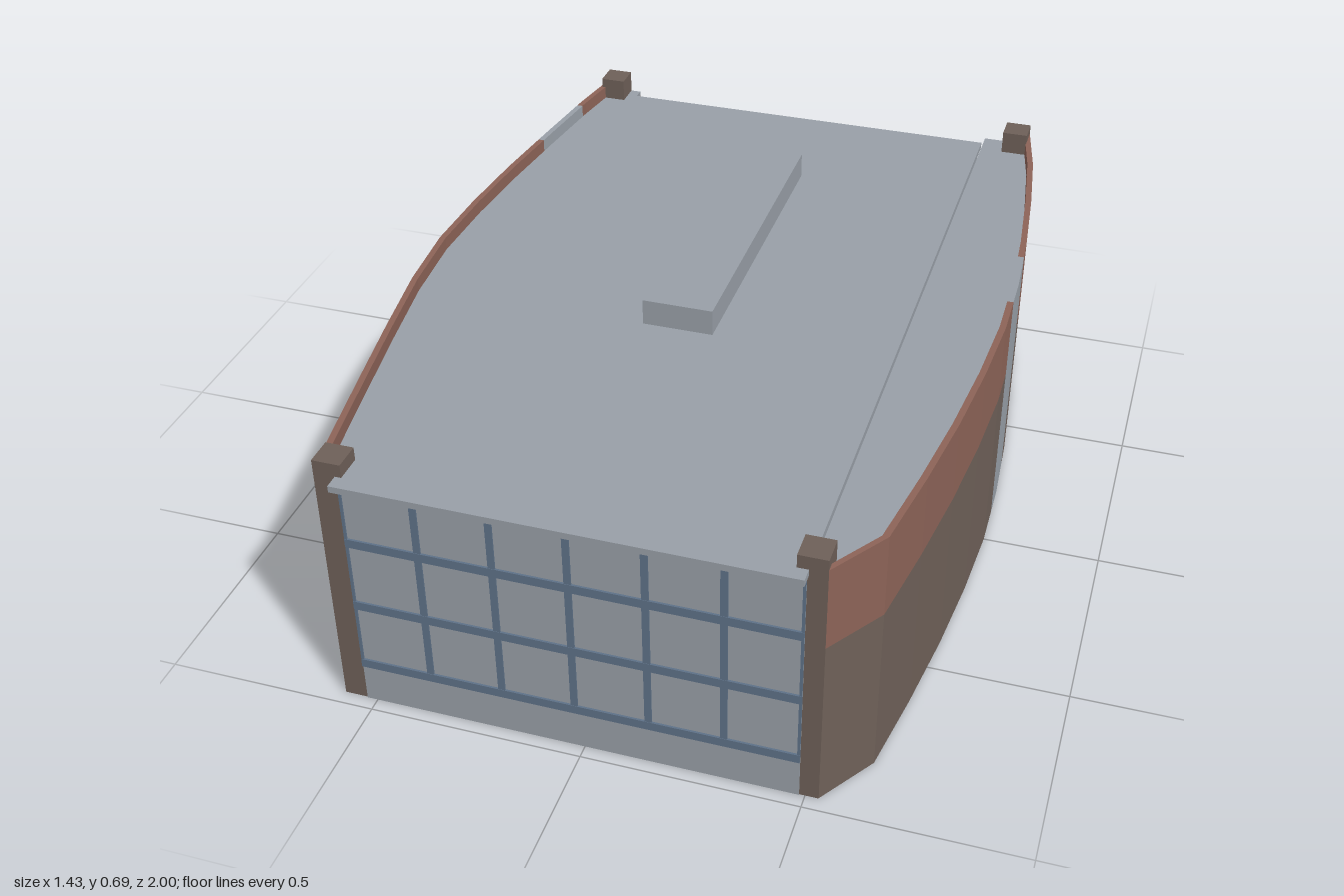
import * as THREE from 'three';

const mat = (name, color) => Object.assign(new THREE.MeshStandardMaterial({ color }), { name });

// Outer wall lines in plan, [x, z] from front to back
const LEFT = [[0.53, 0.965], [0.62, 0.83], [0.654, 0.62], [0.682, 0.41], [0.702, 0.2], [0.713, 0],
  [0.71, -0.2], [0.697, -0.4], [0.674, -0.62], [0.647, -0.82], [0.61, -1]];
const RIGHT = [[-0.58, 0.965], [-0.603, 0.83], [-0.638, 0.62], [-0.672, 0.41], [-0.703, 0.2], [-0.718, 0],
  [-0.711, -0.2], [-0.695, -0.4], [-0.67, -0.62], [-0.645, -0.82], [-0.615, -1]];

// Part of a wall line between two z values, with interpolated ends
function section(line, zFront, zBack) {
  const at = (z) => {
    for (let i = 1; i < line.length; i++) {
      const [a, b] = [line[i - 1], line[i]];
      if (z <= a[1] && z >= b[1]) return [a[0] + (b[0] - a[0]) * (a[1] - z) / (a[1] - b[1]), z];
    }
  };
  return [at(zFront), ...line.filter((p) => p[1] < zFront && p[1] > zBack), at(zBack)];
}

// Plan outline raised from y0 to y1
function raise(points, y0, y1) {
  const shape = new THREE.Shape(points.map(([x, z]) => new THREE.Vector2(x, -z)));
  const g = new THREE.ExtrudeGeometry(shape, { depth: y1 - y0, bevelEnabled: false });
  return g.rotateX(-Math.PI / 2).translate(0, y0, 0);
}

export function createModel() {
  const model = new THREE.Group();
  model.name = 'building';
  const brown = mat('brown cladding', 0x6e6058);
  const rust = mat('rust cladding', 0x8c6357);
  const grey = mat('grey panel', 0x989fa7);
  const blue = mat('blue grey frame', 0x5e7187);
  const beige = mat('beige screen', 0xb2ab9c);

  const add = (name, geometry, material, parent = model) => {
    const mesh = new THREE.Mesh(geometry, material);
    mesh.name = name;
    parent.add(mesh);
    return mesh;
  };
  // Box given by its limits
  const box = (name, m, x0, x1, y0, y1, z0, z1, parent) => add(name,
    new THREE.BoxGeometry(x1 - x0, y1 - y0, z1 - z0)
      .translate((x0 + x1) / 2, (y0 + y1) / 2, (z0 + z1) / 2), m, parent);

  // Curved side wings with cladding bands and one full-height grey strip
  function wing(name, line, side, chord, stripFront, stripBack) {
    const group = new THREE.Group();
    group.name = name;
    model.add(group);
    const inset = (p) => p.map(([x, z]) => [x - side * 0.015, z]);
    const wall = (part, m, zf, zb, y0, y1) => {
      const outer = section(line, zf, zb);
      add(part, raise([...outer, ...inset(outer).reverse()], y0, y1), m, group);
    };
    for (const [zf, zb] of [[0.965, stripFront], [stripBack, -1]]) {
      wall('lowerCladding', brown, zf, zb, 0, 0.43);
      wall('upperCladding', rust, zf, zb, 0.43, 0.635);
    }
    wall('greyStrip', grey, stripFront, stripBack, 0, 0.635);
    const plan = [...inset(line), [chord, -1], [chord, 0.96]];
    add('wingCore', raise(plan, 0.001, 0.59), brown, group);
    add('wingRoof', raise(plan, 0.59, 0.602), grey, group);
    // Inner lining of the hall
    const inner = chord - side * 0.004;
    box('innerWall', grey, Math.min(chord, inner), Math.max(chord, inner), 0.002, 0.61, -0.87, 0.95, group);
  }
  wing('leftWing', LEFT, 1, 0.488, -0.115, -0.33);
  wing('rightWing', RIGHT, -1, -0.528, -0.57, -0.8);

  // Corner pillars
  for (const [name, x, z] of [['frontLeftPillar', 0.465, 0.9], ['frontRightPillar', -0.58, 0.9],
    ['backLeftPillar', 0.545, -1], ['backRightPillar', -0.62, -1]]) {
    box(name, brown, x, x + 0.065, 0, 0.66, z, z + 0.066);
  }

  // Main roof and rooftop vent
  box('roof', grey, -0.53, 0.49, 0.612, 0.628, -0.92, 1);
  box('rooftopVent', grey, -0.105, 0.065, 0.628, 0.692, -0.59, 0.22);

  // Front facade: grey panels behind a frame grid
  const front = new THREE.Group();
  front.name = 'frontFacade';
  model.add(front);
  box('frontPanel', grey, -0.525, 0.487, 0, 0.612, 0.955, 0.968, front);
  for (const y of [0.1, 0.27, 0.445]) box('frameRail', blue, -0.525, 0.487, y, y + 0.022, 0.968, 0.973, front);
  box('topRail', blue, -0.525, 0.487, 0.6, 0.61, 0.968, 0.973, front);
  for (let i = 0; i < 5; i++) {
    const x = -0.357 + i * 0.169;
    box('frameMullion', blue, x - 0.008, x + 0.008, 0.11, 0.605, 0.968, 0.972, front);
  }
  for (const x of [-0.525, 0.481]) box('frameEdge', blue, x, x + 0.006, 0.11, 0.605, 0.968, 0.972, front);

  // Back facade: plinth, dark backing, plain beige panel and faceted screen columns
  const back = new THREE.Group();
  back.name = 'backFacade';
  model.add(back);
  box('plinth', grey, -0.36, 0.488, 0, 0.1, -0.89, -0.865, back);
  box('screenBacking', blue, -0.36, 0.488, 0.1, 0.612, -0.875, -0.865, back);
  box('beigePanel', beige, -0.528, -0.36, 0, 0.612, -0.892, -0.865, back);
  const rows = 5, columns = 12, y0 = 0.1, pitch = 0.51 / rows;
  const profile = [];
  for (let i = 0; i <= rows * 2; i++) {
    profile.push(new THREE.Vector2(i % 2 ? 0.032 : 0.01, y0 + i * pitch / 2));
  }
  const column = new THREE.LatheGeometry(profile, 4).scale(1, 1, 0.6).toNonIndexed();
  column.computeVertexNormals();
  for (let i = 0; i < columns; i++) {
    add('screenColumn', column, beige, back)
      .position.set(-0.36 + (i + 0.5) * 0.848 / columns, 0, -0.878);
  }
  return model;
}
